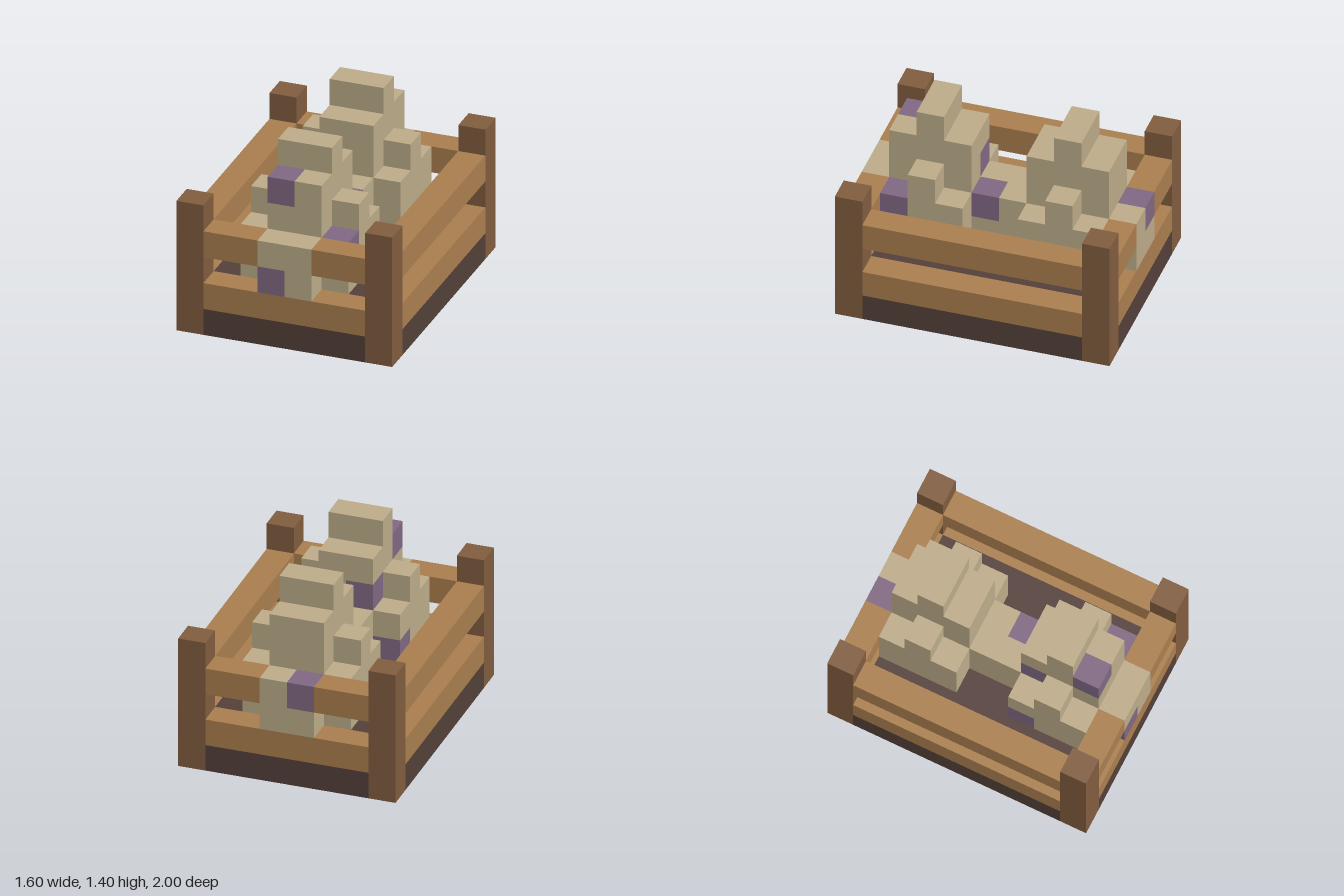
import * as THREE from 'three';
import { mergeGeometries } from 'three/addons/utils/BufferGeometryUtils.js';

const U = 0.2; // size of one block; cells run x -4..3, y 0..6, z -5..4

const material = (name, color) => {
  const m = new THREE.MeshStandardMaterial({ color });
  m.name = name;
  return m;
};

// Rotations that turn a +z plane towards each of the six directions
const FACES = [
  { n: [0, 0, 1], r: [0, 0] }, { n: [0, 0, -1], r: [0, Math.PI] },
  { n: [1, 0, 0], r: [0, Math.PI / 2] }, { n: [-1, 0, 0], r: [0, -Math.PI / 2] },
  { n: [0, 1, 0], r: [-Math.PI / 2, 0] }, { n: [0, -1, 0], r: [Math.PI / 2, 0] },
];

export function createModel() {
  const group = new THREE.Group();
  group.name = 'stoneCrate';

  const darkWood = material('dark base wood', 0x55413a);
  const postWood = material('post wood', 0x835e40);
  const railWood = material('rail wood', 0xac8050);
  const stone = material('pale stone', 0xbfae8b);
  const gem = material('purple stone', 0x826a85);

  const cells = new Map();
  const parts = new Map();
  const key = (x, y, z) => `${x},${y},${z}`;

  // Fill a range of cells (upper bounds exclusive); later fills replace earlier ones
  const fill = (name, mat, [x0, x1], [y0, y1], [z0, z1]) => {
    parts.set(name, mat);
    for (let x = x0; x < x1; x++)
      for (let y = y0; y < y1; y++)
        for (let z = z0; z < z1; z++) cells.set(key(x, y, z), { name, x, y, z });
  };

  // Base slab and raised floor
  fill('base', darkWood, [-4, 4], [0, 1], [-5, 5]);
  fill('base', darkWood, [-3, 3], [1, 2], [-4, 4]);

  // Two rails on each side
  for (const [name, y] of [['lowerRail', 1], ['upperRail', 3]]) {
    for (const x of [-4, 3]) fill(name, railWood, [x, x + 1], [y, y + 1], [-4, 4]);
    for (const z of [-5, 4]) fill(name, railWood, [-3, 3], [y, y + 1], [z, z + 1]);
  }

  // Corner posts
  for (const x of [-4, 3])
    for (const z of [-5, 4]) fill('cornerPost', postWood, [x, x + 1], [0, 5], [z, z + 1]);

  // Two stepped heaps
  for (const z of [-4, 1]) {
    fill('stoneHeap', stone, [-2, 2], [2, 4], [z, z + 3]);
    fill('stoneHeap', stone, [-2, 2], [4, 5], [z + 1, z + 2]);
    fill('stoneHeap', stone, [-1, 1], [4, 6], [z, z + 3]);
    fill('stoneHeap', stone, [-1, 1], [6, 7], [z + 1, z + 2]);
  }
  // Bridge between the heaps, and stones breaking through both end rails
  fill('stoneBridge', stone, [-1, 1], [2, 4], [-1, 1]);
  for (const z of [-5, 4]) fill('endStone', stone, [-1, 1], [2, 4], [z, z + 1]);

  // Single purple blocks
  for (const [x, y, z] of [[-1, 5, 3], [1, 3, 3], [-1, 2, 4], [0, 3, 0], [-1, 4, 1], [-2, 2, 1], [-1, 3, -5]])
    fill('purpleStone', gem, [x, x + 1], [y, y + 1], [z, z + 1]);

  // Each part keeps only its exposed block faces
  for (const [name, mat] of parts) {
    const quads = [];
    for (const c of cells.values()) {
      if (c.name !== name) continue;
      for (const { n, r } of FACES) {
        if (cells.has(key(c.x + n[0], c.y + n[1], c.z + n[2]))) continue;
        quads.push(new THREE.PlaneGeometry(U, U).rotateX(r[0]).rotateY(r[1]).translate(
          (c.x + 0.5 + n[0] / 2) * U, (c.y + 0.5 + n[1] / 2) * U, (c.z + 0.5 + n[2] / 2) * U));
      }
    }
    const mesh = new THREE.Mesh(mergeGeometries(quads), mat);
    mesh.name = name;
    group.add(mesh);
  }
  return group;
}
